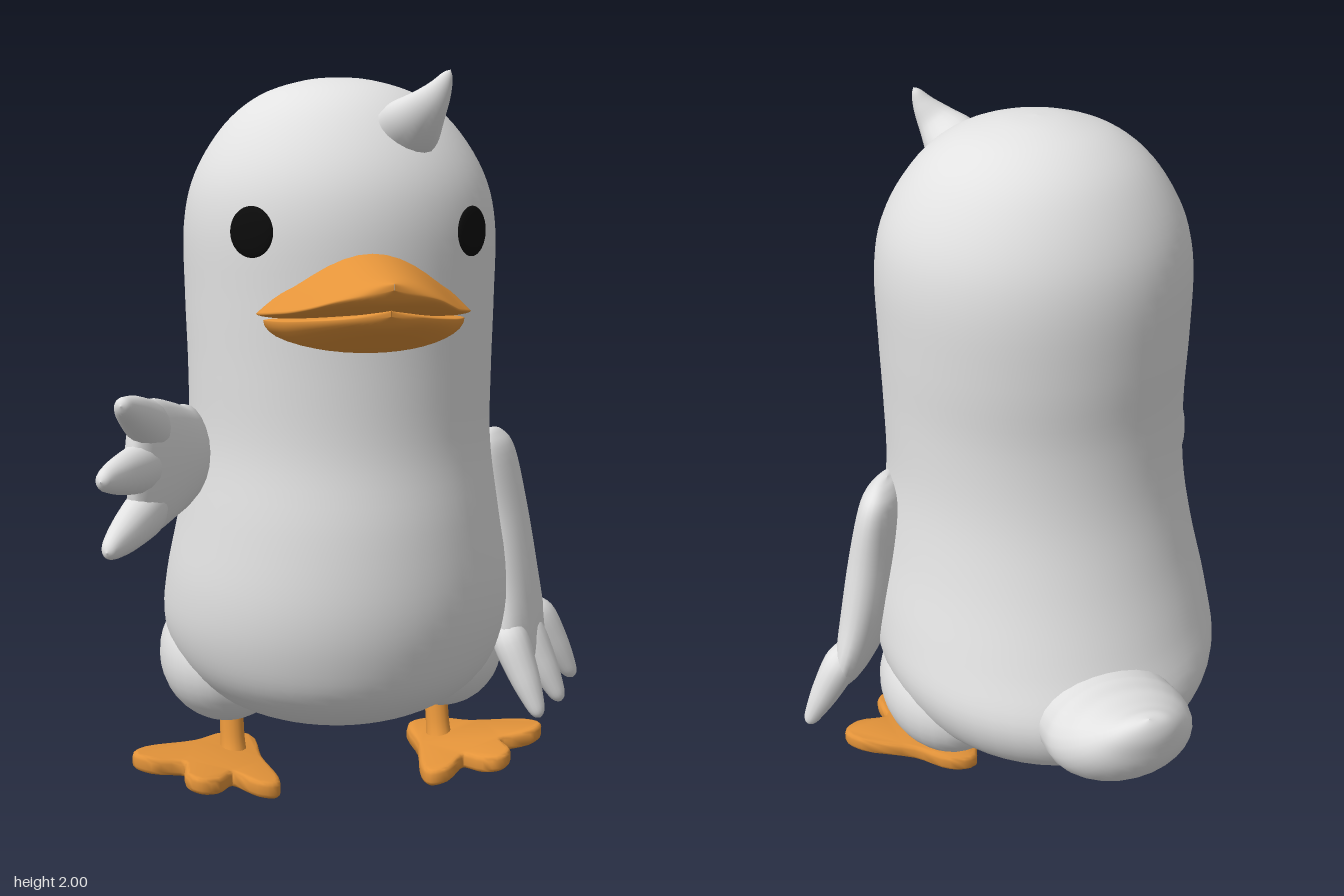
import * as THREE from 'three';
import { toCreasedNormals } from 'three/addons/utils/BufferGeometryUtils.js';

const plumage = new THREE.MeshStandardMaterial({ color: 0xe2e2e2 });
plumage.name = 'pale plumage';
const orange = new THREE.MeshStandardMaterial({ color: 0xe4943a });
orange.name = 'orange';
const black = new THREE.MeshStandardMaterial({ color: 0x0c0c0c });
black.name = 'black';

function part(name, geometry, material) {
  const mesh = new THREE.Mesh(geometry, material);
  mesh.name = name;
  return mesh;
}

// Smoothly subdivides a list of equal-length rows (Catmull-Rom per column)
function smooth(rows, steps) {
  const out = [];
  const last = rows.length - 1;
  for (let i = 0; i < last; i++) {
    const [a, b, c, d] = [rows[Math.max(i - 1, 0)], rows[i], rows[i + 1], rows[Math.min(i + 2, last)]];
    for (let k = 0; k < steps; k++) {
      const t = k / steps;
      out.push(b.map((p, n) => p + 0.5 * t * (c[n] - a[n] + t * (2 * a[n] - 5 * p + 4 * c[n] - d[n]
        + t * (3 * (p - c[n]) + d[n] - a[n])))));
    }
  }
  out.push(rows[last]);
  return out;
}

// Joins closed rings of points into one smooth skin
function skin(rings) {
  const n = rings[0].length;
  const index = [];
  for (let i = 0; i < rings.length - 1; i++) {
    for (let j = 0; j < n; j++) {
      const a = i * n + j, b = i * n + (j + 1) % n;
      index.push(a, b, a + n, b, b + n, a + n);
    }
  }
  const g = new THREE.BufferGeometry();
  g.setAttribute('position', new THREE.Float32BufferAttribute(rings.flat(2), 3));
  g.setIndex(index);
  g.computeVertexNormals();
  return g;
}

// Elliptical loft. Rows: x, y, z, half width along 'across', half thickness
function loft(rows, across, { steps = 5, sides = 24, dir = null } = {}) {
  const pts = smooth(rows, steps);
  const u = new THREE.Vector3(...across).normalize();
  return skin(pts.map((p, i) => {
    const q = pts[Math.max(i - 1, 0)], r = pts[Math.min(i + 1, pts.length - 1)];
    const t = dir ? new THREE.Vector3(...dir) : new THREE.Vector3(r[0] - q[0], r[1] - q[1], r[2] - q[2]);
    const v = t.cross(u).normalize();
    const w = Math.max(p[3], 0.0005), h = Math.max(p[4], 0.0005);
    return Array.from({ length: sides }, (_, j) => {
      const a = j / sides * Math.PI * 2, c = Math.cos(a) * w, s = Math.sin(a) * h;
      return [p[0] + u.x * c + v.x * s, p[1] + u.y * c + v.y * s, p[2] + u.z * c + v.z * s];
    });
  }));
}

// Half of the bill. Rows: z, half width, rim height, rise above rim, drop below rim
function bill(rows, power) {
  return skin(smooth(rows, 4).map(([z, w, rim, up, down]) => Array.from({ length: 40 }, (_, j) => {
    const a = j / 40 * Math.PI * 2, s = Math.sin(a);
    const y = s > 0 ? 0.015 * s + up * Math.pow(s, power) : down * s;
    return [Math.max(w, 0.0005) * Math.cos(a), rim + y, z];
  })));
}

// Flipper arm with three tapering fingers
function arm(name, rows, across, roots, tips) {
  const g = new THREE.Group();
  g.name = name;
  g.add(part('armAndPalm', loft(rows, across), plumage));
  roots.forEach((root, i) => {
    const tip = tips[i];
    const at = (k) => root.map((p, n) => p + (tip[n] - p) * k);
    g.add(part('finger', loft([
      [...at(-0.25), 0.015, 0.01], [...at(0), 0.06, 0.05], [...at(0.45), 0.052, 0.045],
      [...at(0.8), 0.034, 0.03], [...at(0.95), 0.02, 0.018], [...at(1), 0, 0],
    ], across, { sides: 16 }), plumage));
  });
  return g;
}

// Webbed foot with its short leg, s = side
function foot(s) {
  const g = new THREE.Group();
  g.name = s > 0 ? 'leftFoot' : 'rightFoot';
  const outline = [[0.26, -0.115], [0.33, -0.115], [0.42, -0.04], [0.57, 0.03], [0.6, 0.075], [0.56, 0.11],
    [0.46, 0.12], [0.46, 0.21], [0.43, 0.24], [0.39, 0.23], [0.34, 0.17], [0.27, 0.24], [0.23, 0.245],
    [0.222, 0.2], [0.25, 0.05]].map(([x, z]) => new THREE.Vector3(s * x, -z, 0));
  const curve = new THREE.CatmullRomCurve3(outline, true);
  const shape = new THREE.Shape(curve.getPoints(60).slice(0, 60).map((p) => new THREE.Vector2(p.x, p.y)));
  const web = new THREE.ExtrudeGeometry(shape, {
    depth: 0.022, bevelEnabled: true, bevelThickness: 0.014, bevelSize: 0.014, bevelSegments: 3,
  });
  web.rotateX(-Math.PI / 2);
  // sole rises towards the outer toe
  const pos = web.attributes.position;
  for (let i = 0; i < pos.count; i++) {
    pos.setY(i, pos.getY(i) + 0.015 + 0.13 * (Math.abs(pos.getX(i)) - 0.21));
  }
  g.add(part('webbedToes', toCreasedNormals(web, 0.9), orange));
  g.add(part('leg', loft([
    [s * 0.315, 0.035, 0.0, 0.042, 0.045], [s * 0.315, 0.09, -0.02, 0.036, 0.036],
    [s * 0.315, 0.22, -0.06, 0.036, 0.036],
  ], [1, 0, 0], { sides: 16 }), orange));
  return g;
}

export function createModel() {
  const model = new THREE.Group();
  model.name = 'bird';
  const bird = new THREE.Group();
  bird.name = 'bodyAndFace';
  bird.position.x = -0.015;
  model.add(bird);

  // Body rows: height, half width, front z, back z
  const bodyRows = [[2, 0, 0.01, 0.01], [1.99, 0.1, 0.12, -0.09], [1.95, 0.22, 0.245, -0.2],
    [1.87, 0.32, 0.345, -0.295], [1.74, 0.402, 0.43, -0.368], [1.6, 0.435, 0.465, -0.4],
    [1.4, 0.435, 0.463, -0.4], [1.2, 0.43, 0.458, -0.39], [1.0, 0.432, 0.462, -0.41],
    [0.8, 0.46, 0.495, -0.465], [0.6, 0.497, 0.51, -0.54], [0.45, 0.503, 0.49, -0.6],
    [0.33, 0.455, 0.44, -0.57], [0.24, 0.36, 0.33, -0.47], [0.18, 0.22, 0.16, -0.32], [0.15, 0, -0.1, -0.1]];
  bird.add(part('body', loft(bodyRows.map(([y, w, f, b]) => [0, y, (f + b) / 2, w, (f - b) / 2]),
    [1, 0, 0], { sides: 56, dir: [0, -1, 0] }), plumage));

  // Upturned tail
  bird.add(part('tail', loft([
    [0, 0.44, -0.35, 0.2, 0.14], [0, 0.46, -0.55, 0.205, 0.138], [0, 0.48, -0.64, 0.205, 0.135],
    [0, 0.53, -0.72, 0.17, 0.11], [0, 0.585, -0.775, 0.115, 0.065], [0, 0.625, -0.802, 0.06, 0.03],
    [0, 0.643, -0.81, 0, 0],
  ], [1, 0, 0], { sides: 28 }), plumage));

  // Head tuft curling upward
  bird.add(part('headTuft', loft([
    [0.11, 1.82, 0.29, 0.085, 0.07], [0.125, 1.855, 0.36, 0.082, 0.062], [0.15, 1.895, 0.405, 0.058, 0.045],
    [0.182, 1.94, 0.425, 0.033, 0.028], [0.2, 1.975, 0.432, 0.015, 0.014], [0.207, 1.99, 0.433, 0, 0],
  ], [0.8, -0.5, 0], { sides: 18 }), plumage));

  // Two-part bill
  bird.add(part('upperBill', bill([
    [0.32, 0.28, 1.375, 0.16, 0.018], [0.39, 0.282, 1.378, 0.155, 0.02], [0.43, 0.255, 1.382, 0.145, 0.02],
    [0.5, 0.22, 1.39, 0.118, 0.02], [0.58, 0.18, 1.405, 0.082, 0.02], [0.65, 0.13, 1.425, 0.045, 0.02],
    [0.69, 0.07, 1.44, 0.02, 0.016], [0.707, 0, 1.455, 0, 0],
  ], 2.4), orange));
  bird.add(part('lowerBill', bill([
    [0.32, 0.26, 1.36, 0, 0.09], [0.39, 0.265, 1.36, 0, 0.088], [0.46, 0.23, 1.362, 0, 0.082],
    [0.55, 0.18, 1.37, 0, 0.06], [0.62, 0.125, 1.378, 0, 0.04], [0.66, 0.07, 1.385, 0, 0.024],
    [0.678, 0, 1.39, 0, 0],
  ], 1), orange));

  for (const s of [-1, 1]) {
    // Flat round eye following the cheek
    const eye = part(s > 0 ? 'leftEye' : 'rightEye', new THREE.SphereGeometry(0.066, 28, 16), black);
    eye.scale.z = 0.2;
    eye.position.set(s * 0.292, 1.585, 0.355);
    eye.rotation.y = s * 0.73;
    bird.add(eye);

    // Hip bulge
    const hip = part(s > 0 ? 'leftHip' : 'rightHip', new THREE.SphereGeometry(1, 32, 20), plumage);
    hip.scale.set(0.195, 0.2, 0.25);
    hip.position.set(s * 0.325, 0.34, -0.08);
    bird.add(hip, foot(s));
  }

  // Left arm hangs beside the body
  model.add(arm('leftArm', [
    [0.43, 1.005, 0.03, 0, 0], [0.435, 0.99, 0.03, 0.08, 0.03], [0.445, 0.93, 0.03, 0.122, 0.06],
    [0.47, 0.75, 0.045, 0.125, 0.075], [0.495, 0.57, 0.065, 0.145, 0.075], [0.525, 0.43, 0.085, 0.165, 0.058],
    [0.55, 0.34, 0.1, 0.13, 0.035], [0.56, 0.31, 0.105, 0, 0],
  ], [-0.55, 0, 0.83],
  [[0.6, 0.43, 0.005], [0.535, 0.41, 0.09], [0.455, 0.42, 0.185]],
  [[0.72, 0.215, 0.015], [0.635, 0.19, 0.145], [0.525, 0.195, 0.275]]));

  // Right arm reaches forward
  model.add(arm('rightArm', [
    [-0.44, 0.99, -0.03, 0, 0], [-0.445, 0.99, 0, 0.09, 0.04], [-0.465, 0.99, 0.1, 0.12, 0.065],
    [-0.5, 1.0, 0.28, 0.135, 0.085], [-0.545, 1.015, 0.43, 0.155, 0.08], [-0.59, 1.025, 0.56, 0.165, 0.06],
    [-0.62, 1.03, 0.63, 0.13, 0.035], [-0.63, 1.03, 0.66, 0, 0],
  ], [0, 1, 0],
  [[-0.585, 1.125, 0.57], [-0.6, 1.03, 0.58], [-0.595, 0.922, 0.57]],
  [[-0.665, 1.208, 0.79], [-0.715, 1.04, 0.815], [-0.705, 0.87, 0.79]]));

  return model;
}
